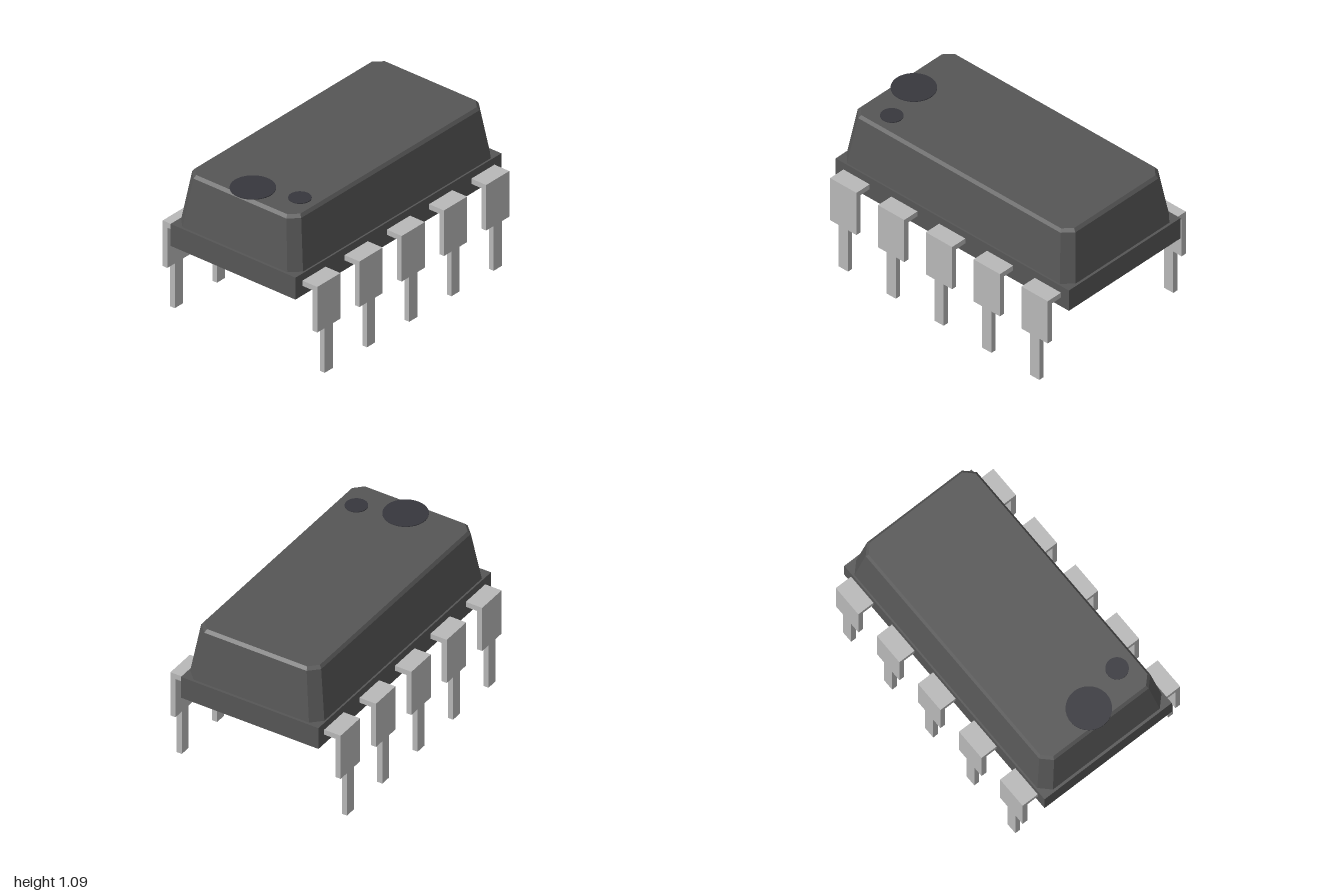
import * as THREE from 'three';

// Rectangle with cut corners, anticlockwise seen from above
function ring(x, z, c, y) {
  return [
    [x, z - c], [x, -z + c], [x - c, -z], [-x + c, -z],
    [-x, -z + c], [-x, z - c], [-x + c, z], [x - c, z],
  ].map(([px, pz]) => new THREE.Vector3(px, y, pz));
}

// Flat-faced solid through a stack of rings, capped at both ends
function loft(rings) {
  const points = [];
  const n = rings[0].length;
  for (let r = 0; r < rings.length - 1; r++) {
    const lo = rings[r], hi = rings[r + 1];
    for (let i = 0; i < n; i++) {
      const j = (i + 1) % n;
      points.push(lo[i], lo[j], hi[j], lo[i], hi[j], hi[i]);
    }
  }
  const bottom = rings[0], top = rings[rings.length - 1];
  for (let i = 1; i < n - 1; i++) {
    points.push(top[0], top[i], top[i + 1], bottom[0], bottom[i + 1], bottom[i]);
  }
  const geometry = new THREE.BufferGeometry().setFromPoints(points);
  geometry.computeVertexNormals();
  return geometry;
}

export function createModel() {
  const model = new THREE.Group();
  model.name = 'integratedCircuit';

  const paint = (name, color) => {
    const material = new THREE.MeshStandardMaterial({ color });
    material.name = name;
    return material;
  };
  const plastic = paint('dark grey plastic', 0x565656);
  const metal = paint('light grey metal', 0xb8b8b8);
  const marking = paint('charcoal marking', 0x37373d);

  const add = (parent, name, geometry, material, x = 0, y = 0, z = 0) => {
    const mesh = new THREE.Mesh(geometry, material);
    mesh.name = name;
    mesh.position.set(x, y, z);
    parent.add(mesh);
    return mesh;
  };

  // Body: rectangular base and tapered, chamfered cover
  add(model, 'bodyBase', new THREE.BoxGeometry(2, 0.16, 1.024), plastic, 0, 0.63, 0);
  add(model, 'bodyCover', loft([
    ring(0.982, 0.5, 0.07, 0.71),
    ring(0.933, 0.447, 0.066, 1.06),
    ring(0.915, 0.431, 0.058, 1.081),
  ]), plastic);

  // Round markers on the top face
  const disc = (name, radius, x, z) =>
    add(model, name, new THREE.CylinderGeometry(radius, radius, 0.005, 48), marking, x, 1.0835, z);
  disc('notchMarker', 0.146, -0.807, 0);
  disc('pinOneMarker', 0.074, -0.711, 0.305);

  // Pin blade: wide shoulder stepping down to a narrow leg
  const wide = 0.1125, narrow = 0.04, step = 0.326, top = 0.658, thick = 0.038;
  const outline = new THREE.Shape([
    [-narrow, 0], [narrow, 0], [narrow, step], [wide, step],
    [wide, top], [-wide, top], [-wide, step], [-narrow, step],
  ].map(([x, y]) => new THREE.Vector2(x, y)));
  const blade = new THREE.ExtrudeGeometry(outline, { depth: thick, bevelEnabled: false });
  const shelf = new THREE.BoxGeometry(wide * 2, thick, 0.1);

  // Two rows of five pins
  for (const side of [1, -1]) {
    const row = new THREE.Group();
    row.name = side > 0 ? 'frontPins' : 'backPins';
    row.rotation.y = side > 0 ? 0 : Math.PI;
    for (let i = -2; i <= 2; i++) {
      const pin = new THREE.Group();
      pin.name = 'pin';
      pin.position.x = i * 0.41;
      add(pin, 'pinBlade', blade, metal, 0, 0, 0.596);
      add(pin, 'pinShelf', shelf, metal, 0, top - thick / 2, 0.546);
      row.add(pin);
    }
    model.add(row);
  }

  return model;
}
